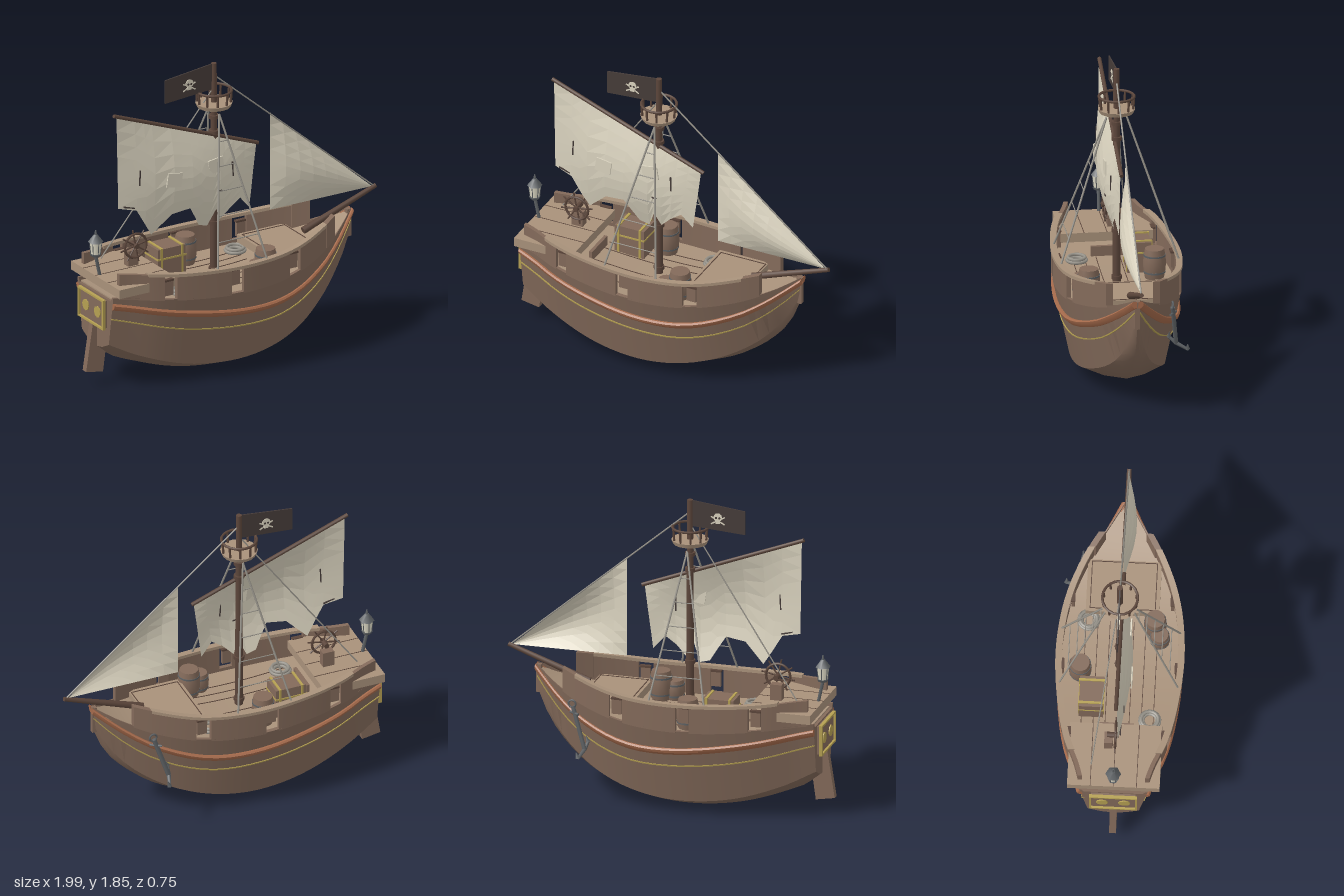
import * as THREE from 'three';
import { toCreasedNormals } from 'three/addons/utils/BufferGeometryUtils.js';

const paint = (name, color, side = THREE.FrontSide) => {
  const m = new THREE.MeshStandardMaterial({ color, side });
  m.name = name;
  return m;
};

// smooth curve y(x) through a few points
function curve(p) {
  const slope = i => {
    const a = p[Math.max(i - 1, 0)], b = p[Math.min(i + 1, p.length - 1)];
    return (b[1] - a[1]) / (b[0] - a[0]);
  };
  return x => {
    let i = 0;
    while (i < p.length - 2 && x > p[i + 1][0]) i++;
    const w = p[i + 1][0] - p[i][0], t = Math.min(1, Math.max(0, (x - p[i][0]) / w)), t2 = t * t, t3 = t2 * t;
    return (2 * t3 - 3 * t2 + 1) * p[i][1] + (t3 - 2 * t2 + t) * w * slope(i)
      + (3 * t2 - 2 * t3) * p[i + 1][1] + (t3 - t2) * w * slope(i + 1);
  };
}

// solid through closed rings, capped at both ends and turned outward
function loft(rings, crease = 0.5) {
  const n = rings[0].length, pos = rings.flat(2), idx = [];
  for (let i = 0; i < rings.length - 1; i++) for (let j = 0; j < n; j++) {
    const a = i * n + j, b = i * n + (j + 1) % n;
    idx.push(a, b, a + n, b, b + n, a + n);
  }
  const e = (rings.length - 1) * n;
  for (let j = 1; j < n - 1; j++) idx.push(0, j + 1, j, e, e + j, e + j + 1);
  let vol = 0;
  const v = i => new THREE.Vector3().fromArray(pos, idx[i] * 3);
  for (let i = 0; i < idx.length; i += 3) vol += v(i).dot(v(i + 1).cross(v(i + 2)));
  if (vol < 0) idx.reverse();
  const g = new THREE.BufferGeometry();
  g.setAttribute('position', new THREE.Float32BufferAttribute(pos, 3));
  g.setIndex(idx);
  return toCreasedNormals(g, crease);
}

// open faceted sheet from rows of points
function sheet(rows) {
  const g = new THREE.BufferGeometry(), n = rows[0].length, idx = [];
  g.setAttribute('position', new THREE.Float32BufferAttribute(rows.flat(2), 3));
  for (let i = 0; i < rows.length - 1; i++) for (let j = 0; j < n - 1; j++) {
    const a = i * n + j;
    idx.push(a, a + n, a + 1, a + 1, a + n, a + n + 1);
  }
  g.setIndex(idx);
  return toCreasedNormals(g, 0.05);
}

const steps = (a, b, n) => Array.from({ length: n + 1 }, (_, i) => a + (b - a) * i / n);
const mix = THREE.MathUtils.lerp;

// hull lines along x
const sheerZ = curve([[-.92, .2], [-.8, .235], [-.65, .295], [-.45, .34], [-.15, .37], [.1, .355], [.3, .31], [.5, .225], [.65, .135], [.82, .015]]);
const sheerY = curve([[-.92, .61], [-.5, .565], [-.15, .545], [.2, .56], [.5, .615], [.7, .685], [.82, .75]]);
const keelY = curve([[-.92, .245], [-.8, .155], [-.5, .045], [-.2, .002], [.1, .022], [.4, .115], [.55, .205], [.71, .37], [.79, .515], [.82, .6]]);
const chineY = curve([[-.92, .3], [-.74, .21], [-.47, .12], [-.2, .085], [.06, .095], [.33, .16], [.55, .27], [.71, .43], [.82, .63]]);
const chineZ = curve([[-.92, .15], [-.6, .22], [-.2, .27], [.1, .258], [.33, .207], [.55, .115], [.71, .05], [.82, .008]]);
const capY = curve([[-.9, .755], [-.5, .715], [-.1, .7], [.25, .715], [.62, .78]]);
const railY = curve([[-.92, .56], [-.5, .47], [-.1, .415], [.2, .42], [.5, .51], [.7, .63], [.82, .73]]);
const lineY = curve([[-.92, .47], [-.5, .36], [-.1, .312], [.2, .318], [.5, .41], [.7, .55], [.81, .67]]);
const deckY = x => sheerY(x) - .025;
const hullZ = (x, y) => mix(chineZ(x), sheerZ(x), (y - chineY(x)) / (sheerY(x) - chineY(x)));

export function createModel() {
  const ship = new THREE.Group();
  ship.name = 'sailingShip';
  const hullMat = paint('hullBrown', 0x836a5a), darkMat = paint('darkWood', 0x5c463b), railMat = paint('redWood', 0xa56a4b),
    deckMat = paint('deckTan', 0xa8917a), sailMat = paint('canvas', 0xd9d2be, THREE.DoubleSide), goldMat = paint('gold', 0xb5a052),
    ironMat = paint('iron', 0x5d6164), ropeMat = paint('rope', 0x97938a), flagMat = paint('flagBlack', 0x463c39), lampMat = paint('lampGlass', 0xe0dcc8);

  const add = (name, geo, mat, x = 0, y = 0, z = 0) => {
    const m = new THREE.Mesh(geo, mat);
    m.name = name;
    m.position.set(x, y, z);
    ship.add(m);
    return m;
  };
  const box = (name, mat, w, h, d, x, y, z) => add(name, new THREE.BoxGeometry(w, h, d), mat, x, y, z);
  const cyl = (name, mat, r1, r2, h, x, y, z, n = 12) => add(name, new THREE.CylinderGeometry(r1, r2, h, n), mat, x, y, z);
  const rod = (name, mat, a, b, r, r2 = r, n = 6) => {
    const p = new THREE.Vector3(...a), d = new THREE.Vector3(...b).sub(p);
    const m = add(name, new THREE.CylinderGeometry(r2, r, d.length(), n), mat);
    m.position.copy(p).addScaledVector(d, .5);
    m.quaternion.setFromUnitVectors(new THREE.Vector3(0, 1, 0), d.normalize());
    return m;
  };
  // bar that follows the ship's side; section gives [y, z] corners
  const sideBar = (name, mat, x0, x1, section, n = 24) => [1, -1].forEach(s =>
    add(name, loft(steps(x0, x1, n).map(x => section(x).map(([y, z]) => [x, y, s * z]))), mat));

  // hull and deck
  add('hull', loft(steps(-.92, .82, 30).map(x => {
    const half = [[mix(keelY(x), chineY(x), .3), chineZ(x) * .5], [chineY(x), chineZ(x)], [sheerY(x), sheerZ(x)],
      [sheerY(x), sheerZ(x) * .93], [deckY(x) - .004, sheerZ(x) * .93]];
    return [[x, keelY(x), 0], ...half.map(([y, z]) => [x, y, z]), ...half.reverse().map(([y, z]) => [x, y, -z])];
  }), .45), hullMat);
  add('deck', loft(steps(-.9, .8, 24).map(x => [[1, 0], [1, -.01], [-1, -.01], [-1, 0]].map(([s, h]) =>
    [x, deckY(x) + h + .004, s * sheerZ(x) * .935]))), deckMat);
  for (const z of [-.21, -.14, -.07, .07, .14, .21]) add('plankSeam', loft(steps(-.5, .16, 6).map(x =>
    [[0, .002], [.004, .002], [.004, -.002], [0, -.002]].map(([h, w]) => [x, deckY(x) + h + .003, z + w]))), darkMat);

  // rubbing rail with a sloped underside, and the gold line
  const onHull = (f, pts) => x => pts.map(([h, out]) => [f(x) + h, hullZ(x, f(x) + h) + out]);
  sideBar('rubbingRail', railMat, -.92, .825, onHull(railY, [[-.028, -.01], [.014, -.01], [.014, .012], [.004, .022], [-.012, .02], [-.028, .006]]));
  sideBar('goldLine', goldMat, -.92, .815, onHull(lineY, [[-.004, -.01], [.004, -.01], [.004, .006], [-.004, .006]]));

  // bulwark walls with gaps for the ports, and the cap rail
  const wall = (lo, hi, inn, out) => x => [[lo(x), sheerZ(x) - inn], [lo(x), sheerZ(x) + out], [hi(x), sheerZ(x) + out], [hi(x), sheerZ(x) - inn]];
  for (const [a, b] of [[-.885, -.63], [-.555, -.21], [-.13, .205], [.29, .62]])
    sideBar('bulwark', hullMat, a, b, wall(x => sheerY(x) - .01, capY, .026, 0), 8);
  sideBar('capRail', deckMat, -.72, .53, wall(x => capY(x) - .01, x => capY(x) + .009, .032, .006));
  sideBar('bowBulwarkBlock', hullMat, .53, .62, wall(sheerY, x => capY(x) + .008, .036, .004), 3);
  for (const x of [-.592, -.17, .248]) for (const s of [1, -1]) {
    box('portLid', hullMat, .058, .095, .02, x, .636, s * (sheerZ(x) - .035));
    box('portLidBar', darkMat, .066, .012, .026, x, .683, s * (sheerZ(x) - .035));
  }

  // stern deck and fore deck
  box('sternDeck', deckMat, .39, .055, .54, -.725, .657, 0);
  for (const z of [-.135, 0, .135]) box('plankSeam', darkMat, .39, .003, .004, -.725, .685, z);
  box('sternStep', hullMat, .02, .06, .2, -.505, .58, 0);
  box('foreDeck', deckMat, .32, .05, .43, .34, .612, 0);
  for (const z of [-.19, .19]) box('foreDeckSeam', darkMat, .29, .004, .005, .345, .638, z);
  for (const x of [.2, .49]) box('foreDeckSeam', darkMat, .005, .004, .385, x, .638, 0);

  // transom board, stern windows and rudder
  box('transomBoard', hullMat, .025, .17, .26, -.93, .485, 0);
  for (const y of [.4, .575]) box('transomTrim', goldMat, .02, .012, .28, -.945, y, 0);
  for (const z of [-.134, .134]) box('transomTrim', goldMat, .02, .17, .012, -.945, .4875, z);
  for (const z of [-.065, .065]) cyl('sternWindow', goldMat, .035, .035, .009, -.945, .485, z, 8).rotation.z = Math.PI / 2;
  const rudder = new THREE.Shape([[-.95, .39], [-.995, .1], [-.88, .08], [-.85, .3], [-.9, .39]].map(p => new THREE.Vector2(...p)));
  add('rudder', new THREE.ExtrudeGeometry(rudder, { depth: .04, bevelEnabled: false }), hullMat, 0, 0, -.02);

  // bowsprit and stem
  rod('bowsprit', darkMat, [.5, .665, 0], [.995, .845, 0], .022, .014, 8);
  box('stemPost', hullMat, .03, .17, .03, .808, .655, 0);

  // mast with bands
  const mx = -.11;
  cyl('mast', darkMat, .017, .025, 1.35, mx, 1.175, 0, 10);
  for (const y of [.56, .85, 1.42, 1.515]) cyl('mastBand', darkMat, .031, .031, .022, mx, y, 0, 10);

  // crow's nest
  cyl('nestFloor', deckMat, .11, .1, .025, mx, 1.595, 0, 16);
  add('nestRail', new THREE.TorusGeometry(.104, .008, 6, 20), darkMat, mx, 1.68, 0).rotation.x = Math.PI / 2;
  for (let i = 0; i < 10; i++) {
    const a = i * Math.PI / 5, c = Math.cos(a), s = Math.sin(a);
    rod('nestPost', darkMat, [mx + c * .098, 1.6, s * .098], [mx + c * .104, 1.68, s * .104], .007);
  }

  // main sail with torn foot, yard, patches and slits
  const sailTop = x => 1.655 - (x + .79) * .385;
  const sailZ = (x, y) => {
    const u = Math.min(1, Math.max(0, (x + .79) / .94)), t = sailTop(x), v = Math.min(1, Math.max(0, (t - y) / (t - .85)));
    return .015 + .07 * Math.sin(Math.PI * u) * Math.sin(Math.PI * v);
  };
  const foot = [[-.775, 1.08], [-.66, 1.05], [-.6, .95], [-.55, .87], [-.43, .985], [-.31, 1.0], [-.26, .92], [-.225, .86], [-.165, .845],
    [-.12, .95], [-.085, .865], [-.02, .93], [.05, .98], [.12, .9]];
  add('mainSail', sheet(foot.map(([x, y]) => {
    const tx = mix(-.785, .17, (x + .775) / .895);
    return steps(0, 1, 7).map(v => {
      const px = mix(tx, x, v), py = mix(sailTop(tx), y, v);
      return [px, py, sailZ(px, py)];
    });
  })), sailMat);
  rod('yard', darkMat, [-.8, 1.665, .01], [.185, 1.29, .01], .012, .012, 8);
  for (const [x, y, r] of [[-.43, 1.21, -.15], [-.135, 1.235, .15]])
    box('sailPatch', sailMat, .1, .085, .008, x, y, sailZ(x, y) + .005).rotation.z = r;
  for (const [x, y, h, r] of [[-.645, 1.255, .095, -.05], [-.01, 1.18, .09, .05], [-.7, 1.075, .09, 1.3], [-.11, 1.07, .03, 1.5]])
    box('sailSlit', flagMat, .007, h, .009, x, y, sailZ(x, y)).rotation.z = r;

  // jib
  add('jib', sheet(steps(0, 1, 8).map(u => steps(0, 1, 8).map(v => {
    const x = mix(.275, .965, u), y = mix(mix(1.455, .85, u), .845, v);
    return [x, y, .065 * Math.sin(Math.PI * Math.pow(u, .8)) * Math.sin(Math.PI * v)];
  }))), sailMat);

  // rigging
  rod('foreStay', ropeMat, [mx, 1.775, 0], [.98, .848, 0], .005);
  rod('backStay', ropeMat, [mx, 1.7, 0], [-.8, .72, -.135], .004);
  for (const s of [1, -1]) {
    const at = (x, t) => [mix(mx, x, t), mix(1.55, .71, t), s * mix(.06, .345, t)];
    for (const x of [-.295, .04]) rod('shroud', ropeMat, at(x, 0), at(x, 1), .006);
    for (const t of [.18, .34, .5, .66, .83]) rod('ratline', ropeMat, at(-.295, t), at(.04, t), .003);
  }

  // flag with skull and crossed bones
  const flag = new THREE.Shape([[-.445, 1.665], [mx, 1.69], [mx, 1.85], [-.445, 1.81]].map(p => new THREE.Vector2(...p)));
  add('flag', new THREE.ExtrudeGeometry(flag, { depth: .008, bevelEnabled: false }), flagMat, 0, 0, -.004);
  for (const s of [1, -1]) {
    for (const r of [.5, -.5]) box('flagBone', sailMat, .095, .008, .003, -.28, 1.738, s * .005).rotation.z = r;
    cyl('flagSkull', sailMat, .026, .026, .004, -.28, 1.758, s * .006, 14).rotation.x = Math.PI / 2;
    box('flagJaw', sailMat, .026, .022, .004, -.28, 1.73, s * .006);
    for (const d of [-.01, .01]) cyl('flagEye', flagMat, .007, .007, .003, -.28 + d, 1.755, s * .008, 8).rotation.x = Math.PI / 2;
  }

  // steering wheel
  box('wheelPedestal', hullMat, .07, .1, .05, -.65, .73, -.04);
  add('wheelRim', new THREE.TorusGeometry(.074, .008, 6, 20), darkMat, -.645, .815, 0);
  cyl('wheelHub', darkMat, .016, .016, .07, -.645, .815, -.015, 10).rotation.x = Math.PI / 2;
  for (let i = 0; i < 4; i++) {
    const a = i * Math.PI / 4 + .2, c = Math.cos(a) * .103, s = Math.sin(a) * .103;
    rod('wheelSpoke', darkMat, [-.645 - c, .815 - s, 0], [-.645 + c, .815 + s, 0], .005);
  }

  // stern lantern
  rod('lanternPost', ironMat, [-.89, .68, 0], [-.918, .81, 0], .01);
  cyl('lanternBase', ironMat, .034, .028, .014, -.918, .815, 0, 6);
  cyl('lanternGlass', lampMat, .036, .027, .075, -.918, .86, 0, 6);
  for (let i = 0; i < 6; i++) {
    const c = Math.sin(i * Math.PI / 3), s = Math.cos(i * Math.PI / 3);
    rod('lanternBar', ironMat, [-.918 + c * .028, .82, s * .028], [-.918 + c * .036, .9, s * .036], .003, .003, 4);
  }
  cyl('lanternRoof', ironMat, .012, .046, .045, -.918, .92, 0, 6);
  cyl('lanternTip', ironMat, .004, .009, .03, -.918, .955, 0, 6);

  // barrels
  const staves = [[0, 0], [.82, 0], [.95, .25], [1, .5], [.95, .75], [.82, 1], [0, 1]];
  for (const [x, z, r, h] of [[-.165, -.23, .068, .18], [.125, .195, .068, .18], [.05, .225, .06, .12]]) {
    const geo = new THREE.LatheGeometry(staves.map(([a, b]) => new THREE.Vector2(a * r, b * h)), 14);
    add('barrel', toCreasedNormals(geo, .6), hullMat, x, .525, z);
    for (const t of [.22, .78]) cyl('barrelHoop', ironMat, r * .965, r * .965, .01, x, .525 + h * t, z, 14);
  }

  // treasure chest
  box('chestBody', hullMat, .19, .12, .145, -.345, .585, -.155);
  box('chestLid', hullMat, .19, .06, .14, -.345, .68, -.155);
  for (const x of [-.415, -.275]) box('chestBand', goldMat, .014, .19, .152, x, .622, -.155);
  box('chestRim', goldMat, .196, .01, .15, -.345, .648, -.155);

  // rope coils
  for (const [x, z] of [[.155, -.195], [-.45, .19]]) for (const [r, y] of [[.058, .55], [.05, .565], [.04, .55]])
    add('ropeCoil', new THREE.TorusGeometry(r, .01, 6, 18), ropeMat, x, y, z).rotation.x = Math.PI / 2;

  // anchor on the right bow
  const crown = [.45, .34, -.275];
  rod('anchorShank', ironMat, [.53, .59, -.245], crown, .014);
  add('anchorRing', new THREE.TorusGeometry(.022, .006, 6, 12), ironMat, .535, .605, -.245);
  rod('anchorStock', ironMat, [.49, .55, -.27], [.55, .55, -.23], .008);
  for (const tip of [[.47, .305, -.34], [.44, .375, -.235]]) {
    rod('anchorArm', ironMat, crown, tip, .013, .009);
    rod('anchorFluke', ironMat, tip, [tip[0] + .012, tip[1] + .035, tip[2]], .015, .002, 4);
  }
  return ship;
}
